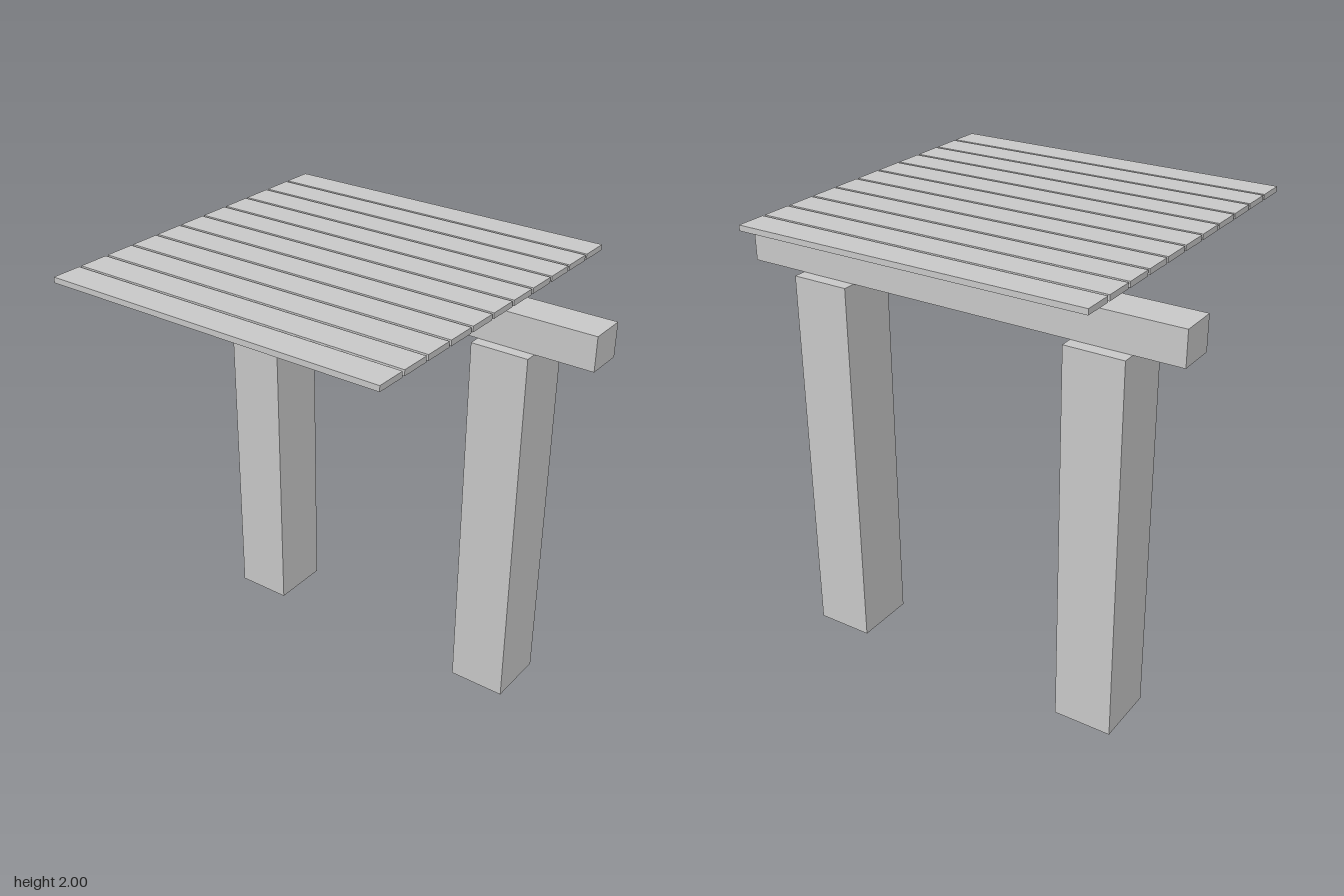
import * as THREE from 'three';

const material = new THREE.MeshStandardMaterial({ color: 0xcccccc, flatShading: true });

// Box given by its extents along each axis
function box(name, [x0, x1], [y0, y1], [z0, z1]) {
  const mesh = new THREE.Mesh(new THREE.BoxGeometry(x1 - x0, y1 - y0, z1 - z0), material);
  mesh.position.set((x0 + x1) / 2, (y0 + y1) / 2, (z0 + z1) / 2);
  mesh.name = name;
  return mesh;
}

export function createModel() {
  const model = new THREE.Group();
  model.name = 'pergola';

  // Two square posts, set toward the back
  model.add(box('rightPost', [-0.792, -0.532], [0, 1.7], [-0.5, -0.223]));
  model.add(box('leftPost', [0.48, 0.74], [0, 1.7], [-0.5, -0.223]));

  // Cross beam resting on the posts
  model.add(box('beam', [-1, 1], [1.7, 1.85], [-0.444, -0.275]));

  // Roof of evenly spaced slats, floating above the beam
  const roof = new THREE.Group();
  roof.name = 'roof';
  const count = 11, width = 0.132, pitch = 0.1442;
  for (let i = 0; i < count; i++) {
    const z = (i - (count - 1) / 2) * pitch;
    roof.add(box('roofSlat', [-0.797, 0.74], [1.976, 2], [z - width / 2, z + width / 2]));
  }
  model.add(roof);

  return model;
}
